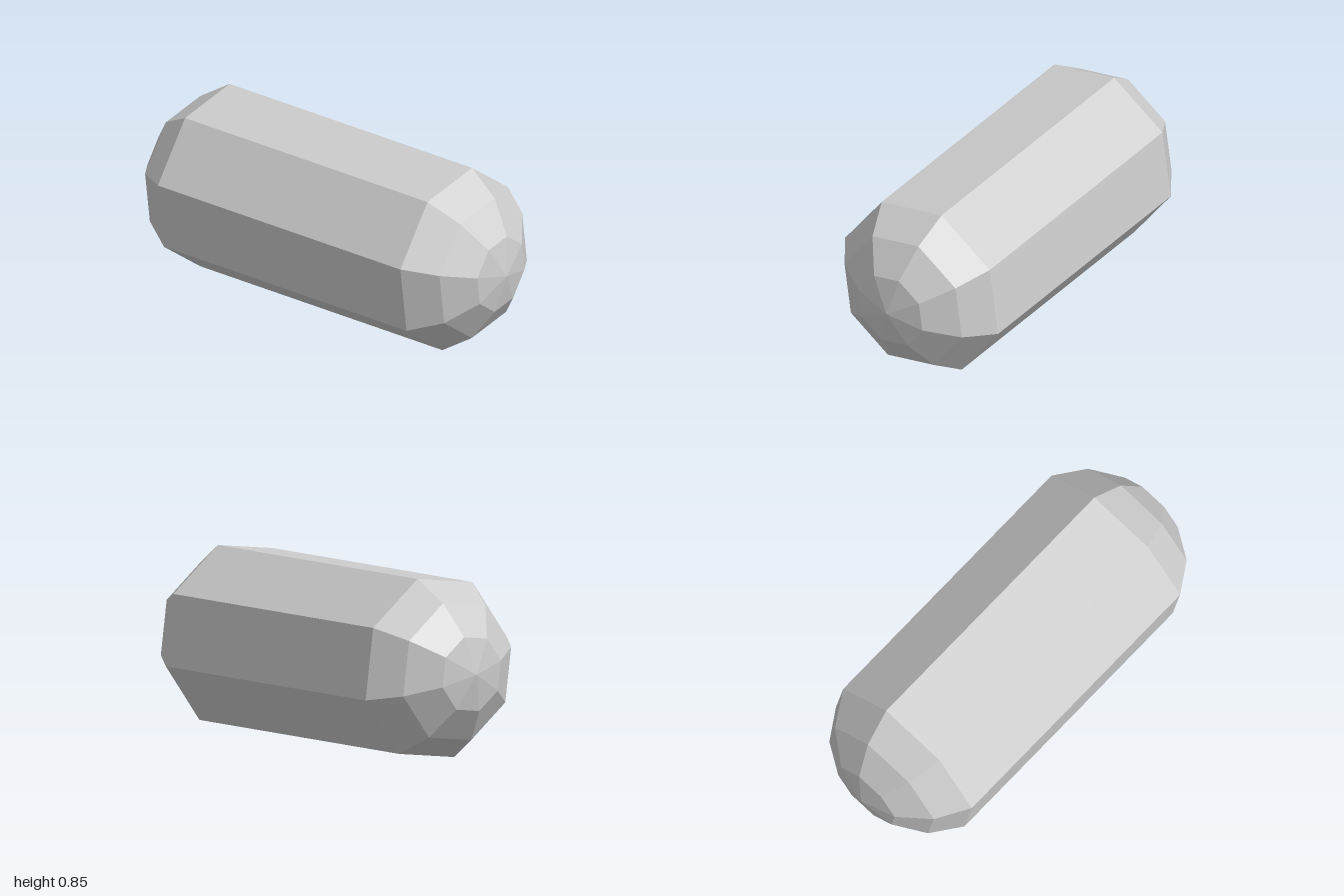
import * as THREE from 'three';

export function createModel() {
  const group = new THREE.Group();
  const grey = new THREE.MeshStandardMaterial({ color: 0xcccccc });
  grey.name = 'light grey';
  grey.flatShading = true;

  // Half profile of the rounded end: [radius, distance along the axis]
  const end = [[0, 1], [0.182, 0.964], [0.337, 0.861], [0.439, 0.709]];
  const profile = [
    ...end.map(([r, d]) => new THREE.Vector2(r, -d)),
    ...[...end].reverse().map(([r, d]) => new THREE.Vector2(r, d)),
  ];

  // Eight-sided capsule lying along z
  const geometry = new THREE.LatheGeometry(profile, 8, THREE.MathUtils.degToRad(30.4));
  geometry.rotateX(Math.PI / 2);
  geometry.rotateY(0.0065); // slight yaw
  geometry.translate(0, 0.425, 0);

  const capsule = new THREE.Mesh(geometry, grey);
  capsule.name = 'capsule';
  group.add(capsule);
  return group;
}
